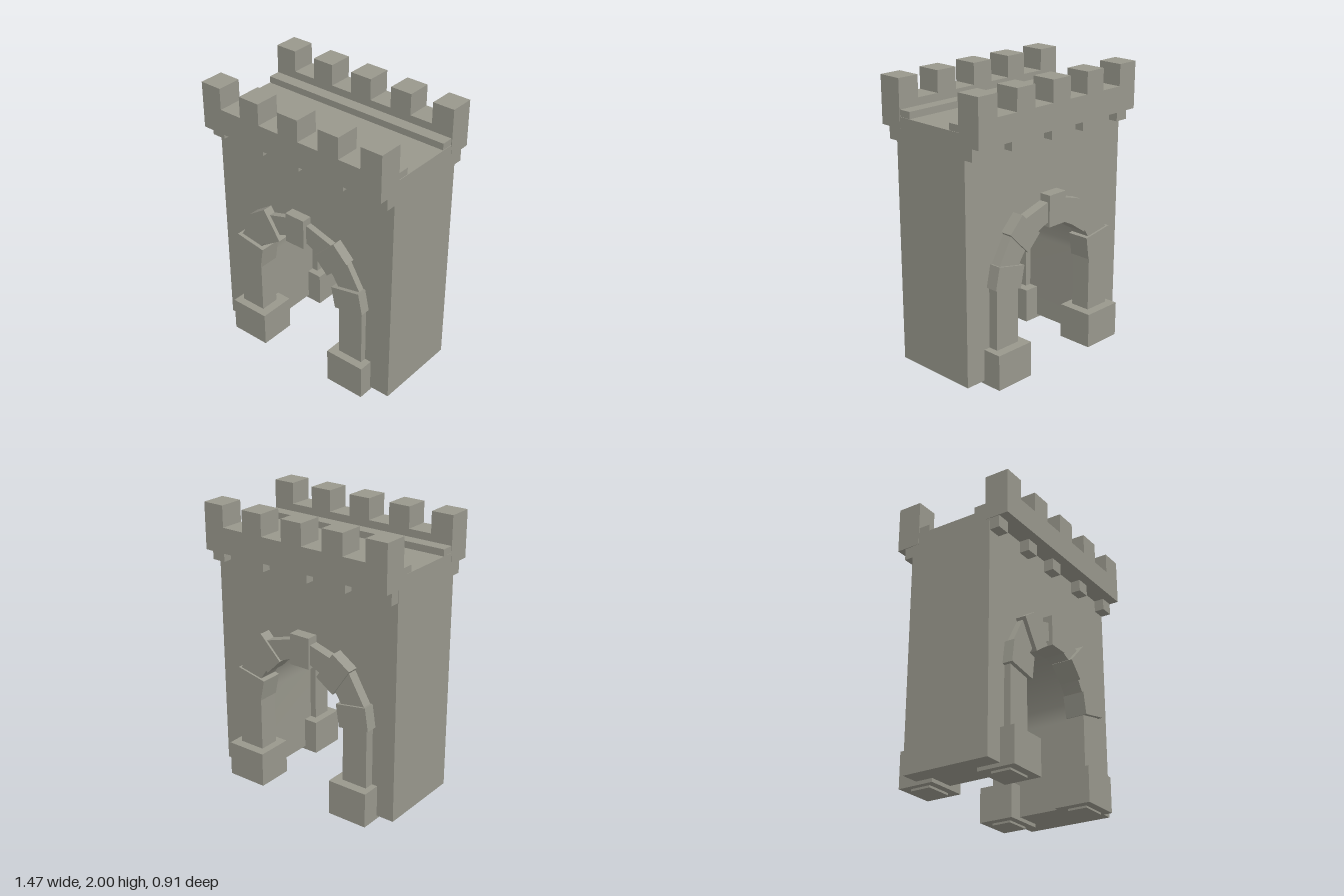
import * as THREE from 'three';
import { toCreasedNormals } from 'three/addons/utils/BufferGeometryUtils.js';

const CX = -0.017; // centre line of the archway

export function createModel() {
  const gate = new THREE.Group();
  gate.name = 'castleGate';
  const stone = new THREE.MeshStandardMaterial({ color: 0x98978c });
  stone.name = 'grey stone';

  const add = (parent, name, geometry) => {
    const mesh = new THREE.Mesh(geometry, stone);
    mesh.name = name;
    parent.add(mesh);
    return mesh;
  };
  // Box given by its limits on each axis
  const box = (parent, name, x0, x1, y0, y1, z0, z1) => {
    const mesh = add(parent, name, new THREE.BoxGeometry(x1 - x0, y1 - y0, z1 - z0));
    mesh.position.set((x0 + x1) / 2, (y0 + y1) / 2, (z0 + z1) / 2);
    return mesh;
  };
  const extrude = (shape, z0, z1) => {
    const g = new THREE.ExtrudeGeometry(shape, { depth: z1 - z0, bevelEnabled: false, curveSegments: 32 });
    return toCreasedNormals(g.translate(0, 0, z0), 0.5);
  };

  // Wall block with the round-headed passage cut through it
  const wall = new THREE.Shape();
  wall.moveTo(-0.733, 0.04);
  wall.lineTo(CX - 0.4, 0.04);
  wall.lineTo(CX - 0.4, 0.66);
  wall.absarc(CX, 0.66, 0.4, Math.PI, 0, true);
  wall.lineTo(CX + 0.4, 0.04);
  wall.lineTo(0.73, 0.04);
  wall.lineTo(0.73, 1.75);
  wall.lineTo(-0.733, 1.75);
  wall.closePath();
  add(gate, 'wall', extrude(wall, -0.315, 0.315));

  // Faceted arch band resting on the pillars
  const half = [[0.545, 0.7], [0.545, 0.81], [0.385, 1.08], [0.08, 1.17]];
  const inner = [[0.08, 1.03], [0.2, 0.98], [0.3, 0.88], [0.353, 0.8], [0.353, 0.7]];
  const rightSide = half.map(([x, y]) => [CX + x, y]);
  const mirrored = (pts) => pts.map(([x, y]) => [CX - x, y]).reverse();
  const bandPoints = [
    ...rightSide, ...mirrored(half),
    ...mirrored(inner), ...inner.map(([x, y]) => [CX + x, y]),
  ].map(([x, y]) => new THREE.Vector2(x, y));
  const band = new THREE.Shape(bandPoints);

  // Projecting arch stones: x, y, width, height, tilt in degrees
  const archStones = [
    [-0.452, 0.757, 0.235, 0.163, -9],
    [-0.295, 1.02, 0.237, 0.16, -56],
    [-0.022, 1.11, 0.155, 0.22, 0],
    [0.283, 1.016, 0.23, 0.155, 45],
    [0.422, 0.751, 0.232, 0.157, 12],
  ];
  const merlons = [[-0.735, -0.575], [-0.405, -0.245], [-0.083, 0.08], [0.245, 0.405], [0.573, 0.732]];
  const corbels = [-0.68, -0.33, -0.025, 0.338, 0.68];

  // Each face has its own depths, [inner z, outer z]
  const faces = [
    { name: 'front', trim: [0.22, 0.36], stones: [0.23, 0.388], plinth: [0.15, 0.417],
      parapet: [0.28, 0.455], step: [0.19, 0.285], corbel: [0.3, 0.387] },
    { name: 'back', trim: [-0.385, -0.24], stones: [-0.4, -0.24], plinth: [-0.452, -0.19],
      parapet: [-0.442, -0.267], step: [-0.27, -0.18], corbel: [-0.382, -0.3] },
  ];
  for (const f of faces) {
    const side = new THREE.Group();
    side.name = f.name + 'Stonework';
    gate.add(side);

    // Pillars and plinths
    for (const [p0, p1, b0, b1] of [[-0.56, -0.37, -0.602, -0.305], [0.336, 0.53, 0.28, 0.578]]) {
      box(side, 'pillar', p0, p1, 0, 0.7, ...f.trim);
      box(side, 'plinth', b0, b1, 0.015, 0.265, ...f.plinth);
    }

    // Arch
    add(side, 'archBand', extrude(band, ...f.trim));
    for (const [x, y, w, h, tilt] of archStones) {
      const block = box(side, tilt ? 'archStone' : 'keystone', x - w / 2, x + w / 2, y - h / 2, y + h / 2, ...f.stones);
      block.rotation.z = THREE.MathUtils.degToRad(tilt);
    }

    // Battlement outline: solid parapet with merlons rising from it
    const crest = new THREE.Shape();
    crest.moveTo(-0.735, 1.672);
    crest.lineTo(0.732, 1.672);
    [...merlons].reverse().forEach(([x0, x1], i) => {
      if (i > 0) crest.lineTo(x1, 1.85);
      crest.lineTo(x1, 2);
      crest.lineTo(x0, 2);
      if (i < merlons.length - 1) crest.lineTo(x0, 1.85);
    });
    crest.closePath();
    add(side, 'battlement', extrude(crest, ...f.parapet));

    // Walkway step behind the parapet and corbels beneath it
    box(side, 'walkwayStep', -0.732, 0.726, 1.7, 1.797, ...f.step);
    for (const x of corbels) box(side, 'corbel', x - 0.05, x + 0.05, 1.587, 1.68, ...f.corbel);
  }
  return gate;
}
